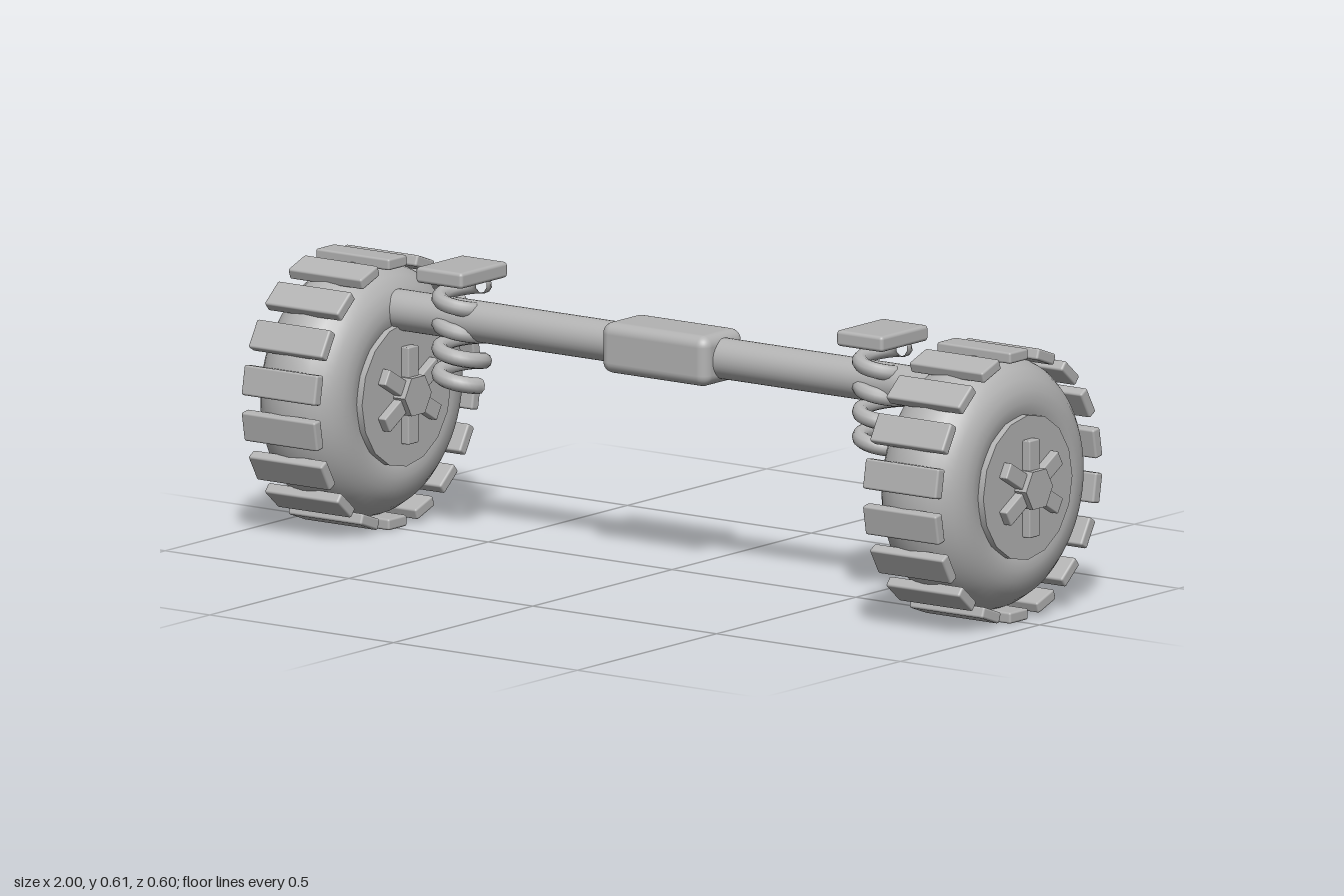
import * as THREE from 'three';
import { toCreasedNormals } from 'three/addons/utils/BufferGeometryUtils.js';
import { RoundedBoxGeometry } from 'three/addons/geometries/RoundedBoxGeometry.js';

const metal = new THREE.MeshStandardMaterial({ color: 0xb3b3b3 });
metal.name = 'grey';

function add(parent, name, geometry, x = 0, y = 0, z = 0) {
  const mesh = new THREE.Mesh(geometry, metal);
  mesh.name = name;
  mesh.position.set(x, y, z);
  parent.add(mesh);
  return mesh;
}

// Wheel built around local z, then turned so its axle lies along x
function makeWheel() {
  const wheel = new THREE.Group();

  const tyre = add(wheel, 'tyre', new THREE.TorusGeometry(0.185, 0.1, 24, 64));
  tyre.scale.z = 1.12;

  add(wheel, 'rim', new THREE.CylinderGeometry(0.16, 0.16, 0.246, 16).rotateX(Math.PI / 2));

  const hub = new THREE.CylinderGeometry(0.048, 0.048, 0.31, 6).rotateX(Math.PI / 2).rotateZ(Math.PI / 6);
  add(wheel, 'hub', toCreasedNormals(hub, 0.5));

  // Six spokes, showing on both faces
  const spoke = new RoundedBoxGeometry(0.037, 0.075, 0.285, 2, 0.003);
  for (let i = 0; i < 6; i++) {
    const a = (i / 6) * Math.PI * 2;
    const mesh = add(wheel, 'spoke', spoke, -Math.sin(a) * 0.07, Math.cos(a) * 0.07, 0);
    mesh.rotation.z = a;
  }

  // Tread blocks around the rolling surface
  const tread = new RoundedBoxGeometry(0.066, 0.025, 0.2, 2, 0.005);
  for (let i = 0; i < 18; i++) {
    const a = (i / 18) * Math.PI * 2;
    const mesh = add(wheel, 'treadBlock', tread, -Math.sin(a) * 0.2875, Math.cos(a) * 0.2875, 0);
    mesh.rotation.z = a;
  }
  wheel.rotation.y = Math.PI / 2;
  return wheel;
}

// Coil spring with a flat mounting pad on top
function makeSuspension() {
  const group = new THREE.Group();
  const turns = 4, bottom = 0.342, top = 0.565, radius = 0.048, wire = 0.018;
  const points = [];
  for (let i = 0; i <= turns * 16; i++) {
    const a = (i / 16) * Math.PI * 2;
    points.push(new THREE.Vector3(
      Math.cos(a) * radius,
      bottom + (top - bottom) * (i / (turns * 16)),
      Math.sin(a) * radius
    ));
  }
  const path = new THREE.CatmullRomCurve3(points);
  add(group, 'coilSpring', new THREE.TubeGeometry(path, turns * 32, wire, 10));

  // Closed lower end of the wire
  const cap = add(group, 'coilEnd', new THREE.CircleGeometry(wire, 10), points[0].x, points[0].y, points[0].z);
  cap.lookAt(points[0].clone().sub(path.getTangent(0)));

  add(group, 'springPad', new RoundedBoxGeometry(0.126, 0.035, 0.168, 3, 0.008), 0, 0.588, 0);
  return group;
}

export function createModel() {
  const model = new THREE.Group();
  model.name = 'axleAssembly';

  // Axle tube and central housing
  add(model, 'axle', new THREE.CylinderGeometry(0.045, 0.045, 1.5, 32).rotateZ(Math.PI / 2), 0, 0.485, 0);
  add(model, 'centreHousing', new RoundedBoxGeometry(0.29, 0.112, 0.144, 4, 0.025), 0, 0.485, 0);

  for (const side of [-1, 1]) {
    const prefix = side > 0 ? 'left' : 'right';

    const wheel = makeWheel();
    wheel.name = prefix + 'Wheel';
    wheel.position.set(side * 0.845, 0.3, 0);
    model.add(wheel);

    const suspension = makeSuspension();
    suspension.name = prefix + 'Suspension';
    suspension.position.x = side * 0.572;
    model.add(suspension);
  }
  return model;
}
